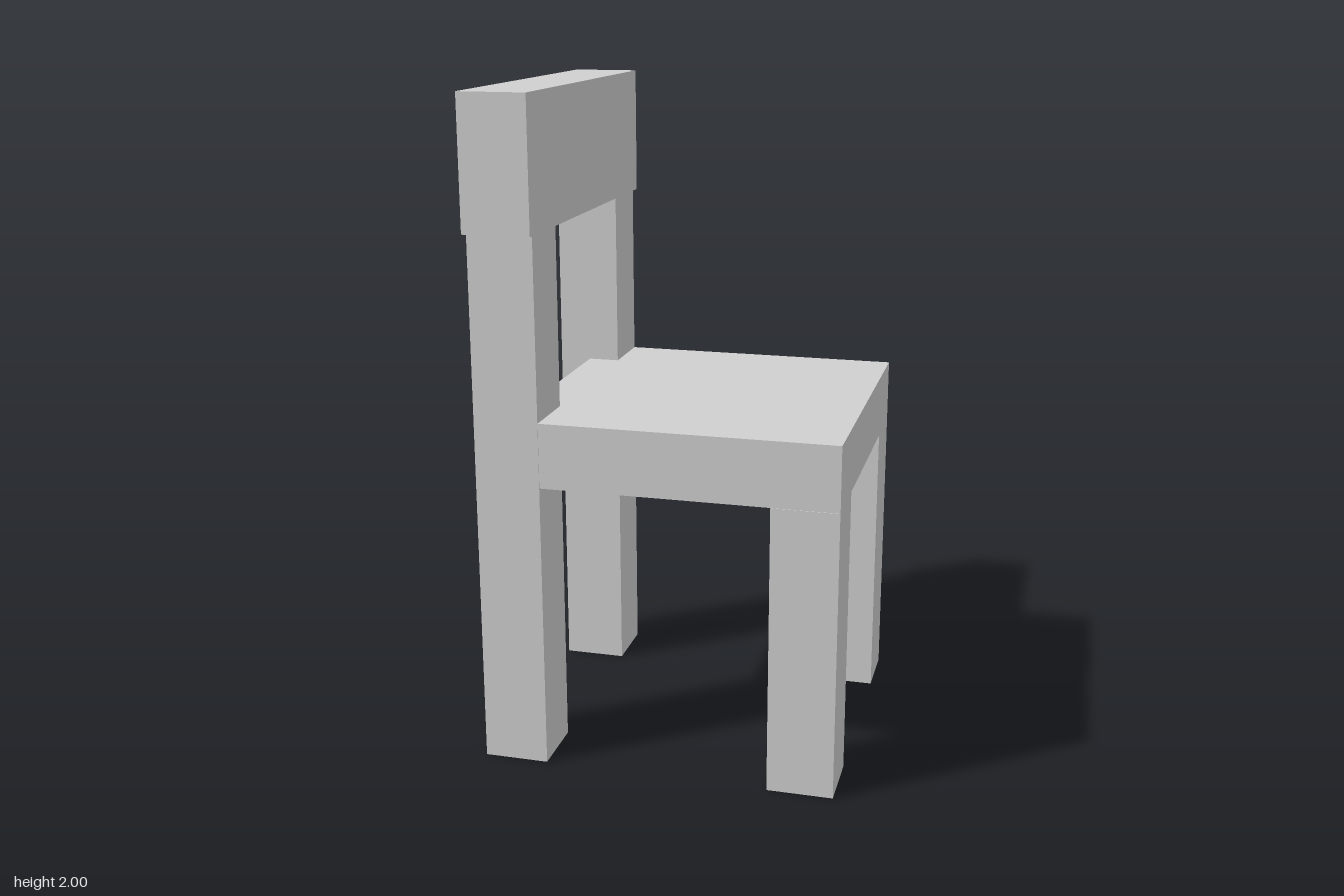
import * as THREE from 'three';

export function createModel() {
  const chair = new THREE.Group();
  chair.name = 'chair';
  const lightGrey = new THREE.MeshStandardMaterial({ color: 0xd0d0d0 });
  lightGrey.name = 'lightGrey';

  // Box given by its extents along each axis
  function box(name, [x0, x1], [y0, y1], [z0, z1]) {
    const mesh = new THREE.Mesh(new THREE.BoxGeometry(x1 - x0, y1 - y0, z1 - z0), lightGrey);
    mesh.position.set((x0 + x1) / 2, (y0 + y1) / 2, (z0 + z1) / 2);
    mesh.name = name;
    chair.add(mesh);
  }

  // Seat slab, ending halfway into the rear posts
  box('seat', [-0.437, 0.537], [0.875, 1.07], [-0.487, 0.485]);

  // Short legs under the seat and tall posts carrying the backrest
  for (const [side, z] of [['Left', [-0.487, -0.292]], ['Right', [0.292, 0.487]]]) {
    box('seatLeg' + side, [0.34, 0.537], [0, 0.875], z);
    box('backPost' + side, [-0.535, -0.34], [0, 1.63], z);
  }

  // Top rail, slightly wider than the posts
  box('backrest', [-0.537, -0.335], [1.61, 2], [-0.517, 0.517]);

  return chair;
}
